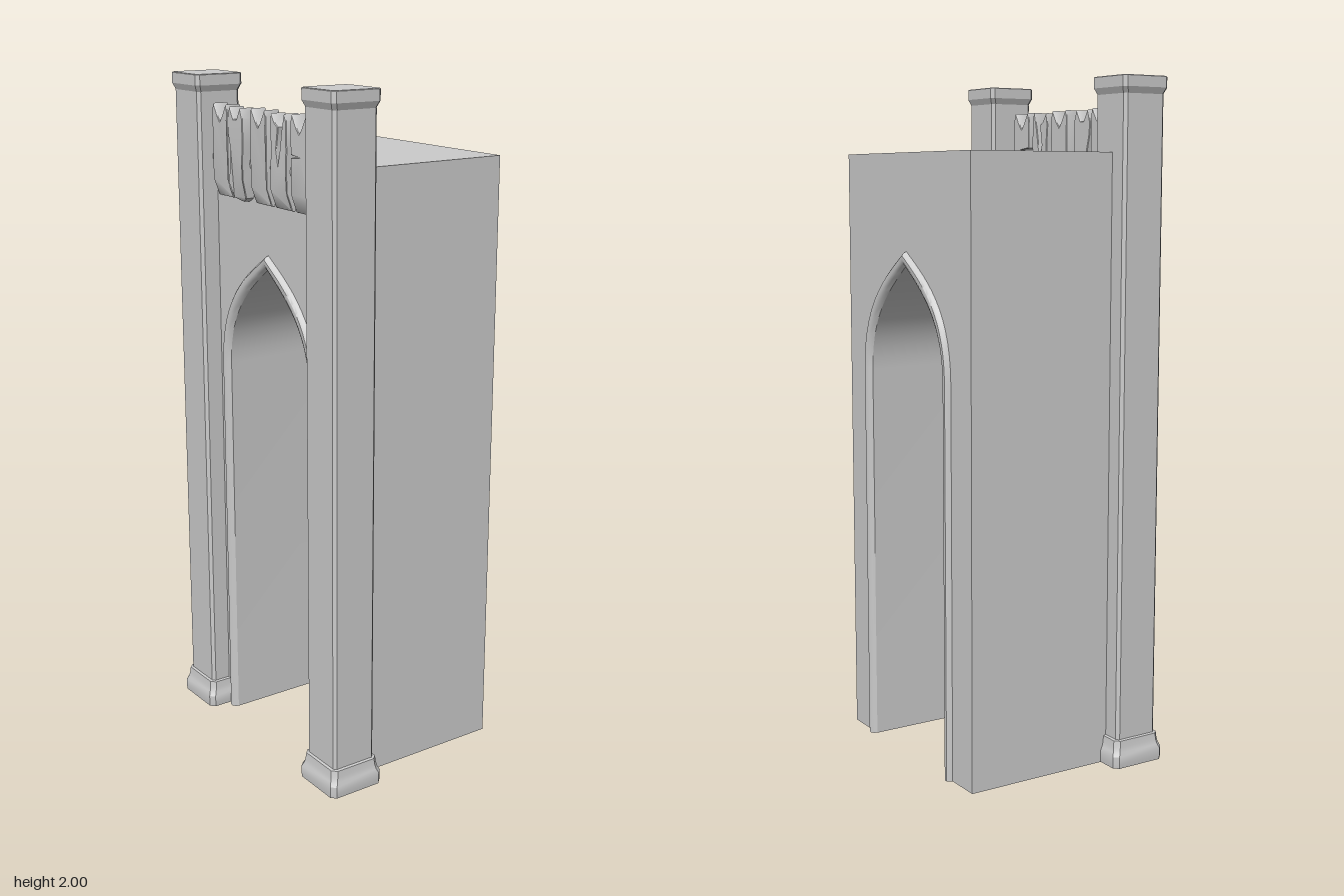
import * as THREE from 'three';
import { toCreasedNormals } from 'three/addons/utils/BufferGeometryUtils.js';

// Double sided because the block and the pillars are hollow and open underneath
const grey = new THREE.MeshStandardMaterial({ color: 0xcccccc, side: THREE.DoubleSide });
const BACK = -0.305, FRONT = 0.242;

function add(parent, geometry, name, x = 0, y = 0, z = 0) {
  const mesh = new THREE.Mesh(geometry, grey);
  mesh.name = name;
  mesh.position.set(x, y, z);
  parent.add(mesh);
  return mesh;
}

// Skin a list of cross-sections, each a list of [x, y, z]
function loft(rings, closed, crease) {
  const out = [];
  for (let i = 0; i < rings.length - 1; i++) {
    const a = rings[i], b = rings[i + 1], n = a.length;
    for (let j = 0; j < (closed ? n : n - 1); j++) {
      const k = (j + 1) % n;
      out.push(...a[j], ...b[j], ...a[k], ...b[j], ...b[k], ...a[k]);
    }
  }
  const g = new THREE.BufferGeometry();
  g.setAttribute('position', new THREE.Float32BufferAttribute(out, 3));
  return toCreasedNormals(g, crease);
}

// Pointed arch outline from right foot over the apex to left foot
function archPoints(half, apex) {
  const curve = new THREE.CubicBezierCurve(
    new THREE.Vector2(half, 1.15), new THREE.Vector2(half, apex - 0.15),
    new THREE.Vector2(half * 0.48, apex - 0.075), new THREE.Vector2(0, apex));
  const right = [new THREE.Vector2(half, 0), ...curve.getPoints(14)];
  const left = right.slice(0, -1).reverse().map(p => new THREE.Vector2(-p.x, p.y));
  return [...right, ...left];
}

// Gatehouse block with a tunnel through it, open underneath
function bodyGeometry() {
  const shape = new THREE.Shape([
    new THREE.Vector2(0.355, 0), new THREE.Vector2(0.355, 1.79),
    new THREE.Vector2(-0.355, 1.79), new THREE.Vector2(-0.355, 0),
    ...archPoints(0.215, 1.47).reverse()]);
  const g = new THREE.ExtrudeGeometry(shape, { depth: FRONT - BACK, bevelEnabled: false });
  const p = g.attributes.position, kept = [];
  for (let i = 0; i < p.count; i += 3) {
    if (Math.max(p.getY(i), p.getY(i + 1), p.getY(i + 2)) < 0.001) continue;
    for (let j = i; j < i + 3; j++) kept.push(p.getX(j), p.getY(j), p.getZ(j));
  }
  const open = new THREE.BufferGeometry();
  open.setAttribute('position', new THREE.Float32BufferAttribute(kept, 3));
  return toCreasedNormals(open, 0.5);
}

// Rounded moulding that follows the arch
function trimGeometry() {
  const inner = archPoints(0.215, 1.47), outer = archPoints(0.247, 1.51);
  const section = [[1, 0], [0.9, 0.009], [0.72, 0.015], [0.4, 0.015], [0.15, 0.01], [0, 0]];
  const rings = inner.map((p, i) => section.map(([t, z]) => {
    const q = p.clone().lerp(outer[i], t);
    return [q.x, q.y, z];
  }));
  return loft(rings, false, 0.7);
}

// Square ring with chamfered corners
function squareRing(h, y, c) {
  return [[h, -h + c], [h, h - c], [h - c, h], [-h + c, h],
    [-h, h - c], [-h, -h + c], [-h + c, -h], [h - c, -h]].map(([x, z]) => [x, y, z]);
}

function pillar(x, name) {
  const group = new THREE.Group();
  group.name = name;
  group.position.set(x, 0, 0.231);
  const rings = (list, c) => list.map(([y, h]) => squareRing(h, y, c));
  add(group, loft(rings([[0, 0.0875], [0.012, 0.0885], [0.035, 0.0885], [0.047, 0.083],
    [0.06, 0.08], [0.08, 0.078], [0.082, 0.07]], 0.014), true, 0.5), 'base');
  add(group, loft(rings([[0.08, 0.07], [1.95, 0.07]], 0.009), true, 0.3), 'shaft');
  const cap = rings([[1.95, 0.07], [1.968, 0.0775], [1.998, 0.0775], [2, 0.0755]], 0.01);
  cap.push(cap[3].map(() => [0, 2, 0]));
  add(group, loft(cap, true, 0.3), 'cap');
  return group;
}

// Board cut from an outline, its lower front edge sloping back
function boardGeometry(points) {
  const shape = new THREE.Shape(points.map(([x, y]) => new THREE.Vector2(x, y)));
  const g = new THREE.ExtrudeGeometry(shape, {
    depth: 0.044, bevelEnabled: true, bevelThickness: 0.002, bevelSize: 0.002,
    bevelOffset: -0.002, bevelSegments: 1 });
  const p = g.attributes.position;
  for (let i = 0; i < p.count; i++) {
    const drop = Math.max(0, 1.705 - p.getY(i)) / 0.05;
    if (p.getZ(i) > 0.03) p.setZ(i, p.getZ(i) - 0.018 * drop);
  }
  return toCreasedNormals(g, 0.6);
}

export function createModel() {
  const model = new THREE.Group();
  model.name = 'archedGatehouse';

  add(model, bodyGeometry(), 'body', 0, 0, BACK);
  const trim = trimGeometry();
  add(model, trim, 'frontArchTrim', 0, 0, FRONT);
  add(model, trim, 'backArchTrim', 0, 0, BACK).rotation.y = Math.PI;

  model.add(pillar(0.342, 'leftPillar'), pillar(-0.342, 'rightPillar'));

  // Round rail between the pillars, carrying the boards
  add(model, new THREE.CylinderGeometry(0.028, 0.028, 0.56, 16), 'rail', 0, 1.763, 0.229)
    .rotation.z = Math.PI / 2;

  const whole = [[-0.041, 1.655], [0.041, 1.655], [0.041, 1.705], [0.041, 1.9],
    [0.034, 1.92], [0.012, 1.885], [0, 1.87], [-0.012, 1.885], [-0.034, 1.92],
    [-0.041, 1.9], [-0.041, 1.705]];
  const worn = [[-0.036, 1.66], [0.012, 1.653], [0.032, 1.665], [0.037, 1.72], [0.036, 1.77],
    [0.041, 1.82], [0.039, 1.89], [0.028, 1.918], [0.008, 1.885], [-0.008, 1.885],
    [-0.028, 1.918], [-0.041, 1.88], [-0.038, 1.845], [-0.026, 1.8], [-0.03, 1.75],
    [-0.038, 1.705]];
  const split = [[-0.041, 1.655], [0.041, 1.655], [0.041, 1.705], [0.038, 1.76],
    [0.041, 1.82], [0.04, 1.9], [0.03, 1.918], [0.017, 1.87], [0.008, 1.82], [-0.002, 1.775],
    [-0.01, 1.82], [0, 1.88], [-0.016, 1.89], [-0.034, 1.915], [-0.041, 1.88],
    [-0.036, 1.82], [-0.041, 1.77], [-0.041, 1.705]];
  const notched = [[-0.041, 1.655], [0.041, 1.655], [0.041, 1.705], [0.041, 1.72],
    [0.032, 1.735], [0.041, 1.75], ...whole.slice(3, 10), [-0.041, 1.812], [0.004, 1.808],
    [-0.041, 1.804], [-0.041, 1.705]];

  const boards = new THREE.Group();
  boards.name = 'battlementBoards';
  [whole, worn, whole, split, notched].forEach((outline, i) => {
    add(boards, boardGeometry(outline), 'board' + (i + 1),
      -0.207 + i * 0.1025, 0, i === 1 ? 0.236 : 0.224);
  });
  model.add(boards);
  return model;
}
